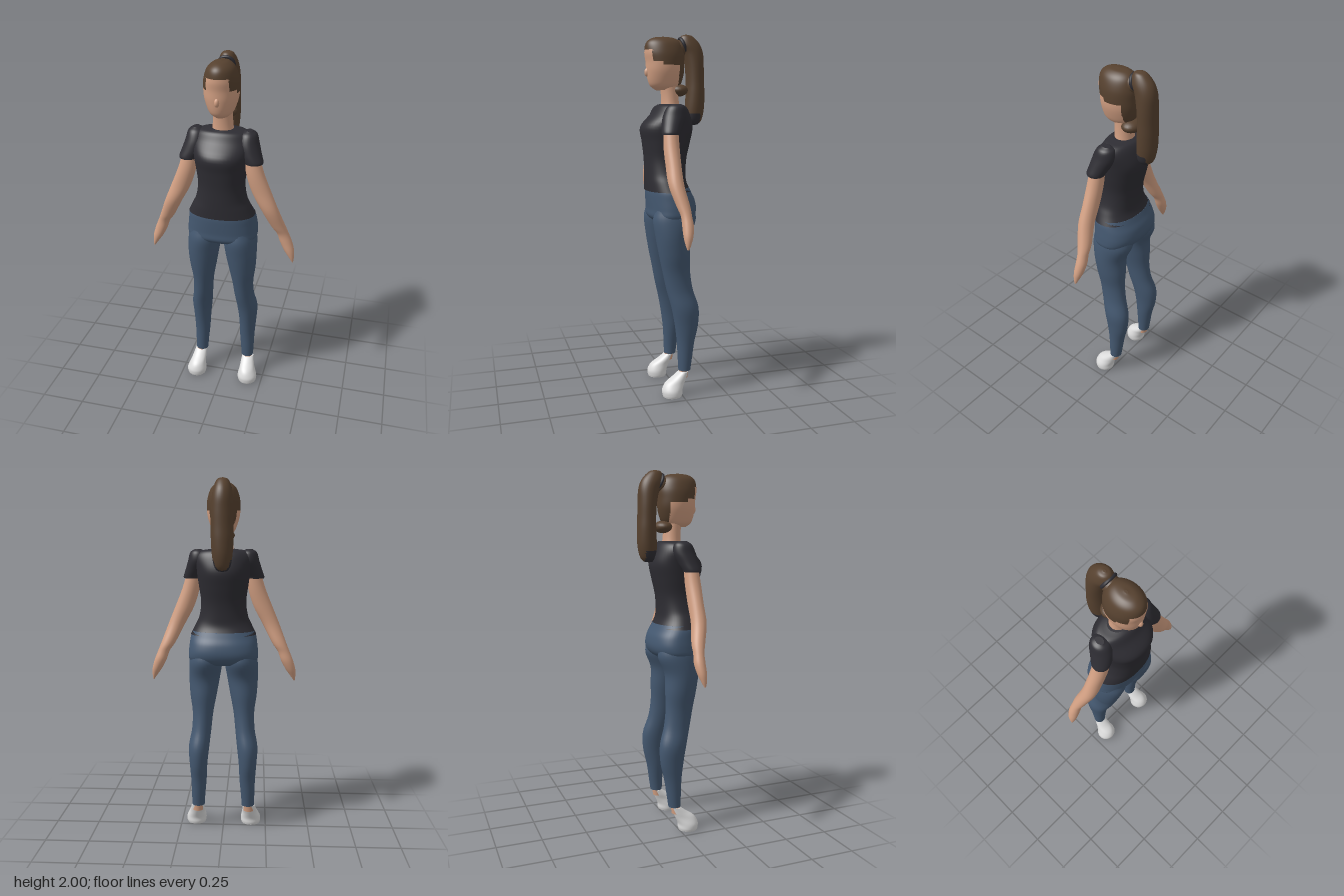
import * as THREE from 'three';

const mat = (name, color) => {
  const m = new THREE.MeshStandardMaterial({ color });
  m.name = name;
  return m;
};

// Smooth loft through horizontal rings listed from top to bottom.
// Each ring is [centre x, y, centre z, half width, half depth, squareness].
// An optional rule(x, y, z) picks the second material for a face.
function loft(rings, { side = 1, seg = 32, steps = 5, rule = null } = {}) {
  const curve = pts => new THREE.CatmullRomCurve3(pts, false, 'catmullrom', 0.5);
  const centres = curve(rings.map(r => new THREE.Vector3(r[0] * side, r[1], r[2])));
  const radii = curve(rings.map(r => new THREE.Vector3(r[3], r[4], r[5] ?? 2)));
  const n = (rings.length - 1) * steps;
  const pos = [], lists = [[], []];
  const addRing = i => {
    const c = centres.getPoint(i / n), r = radii.getPoint(i / n);
    for (let j = 0; j < seg; j++) {
      const a = (j / seg) * Math.PI * 2, e = 2 / r.z;
      const x = Math.sign(Math.cos(a)) * Math.abs(Math.cos(a)) ** e;
      const z = Math.sign(Math.sin(a)) * Math.abs(Math.sin(a)) ** e;
      pos.push(c.x + r.x * x, c.y, c.z + r.y * z);
    }
    return c;
  };
  const face = (a, b, c) => {
    const mid = k => (pos[a * 3 + k] + pos[b * 3 + k] + pos[c * 3 + k]) / 3;
    lists[rule && rule(mid(0), mid(1), mid(2)) ? 1 : 0].push(a, b, c);
  };
  for (let i = 0; i <= n; i++) addRing(i);
  for (let i = 0; i < n; i++) {
    for (let j = 0; j < seg; j++) {
      const k = (j + 1) % seg;
      const a = i * seg + j, c = i * seg + k;
      face(a, c, a + seg);
      face(c, c + seg, a + seg);
    }
  }
  // End caps with their own vertices, so the rims stay crisp
  for (const end of [0, n]) {
    const first = pos.length / 3;
    const c = addRing(end);
    pos.push(c.x, c.y, c.z);
    for (let j = 0; j < seg; j++) {
      const p = first + j, q = first + ((j + 1) % seg);
      if (end === 0) face(first + seg, q, p);
      else face(first + seg, p, q);
    }
  }
  const geo = new THREE.BufferGeometry();
  geo.setAttribute('position', new THREE.Float32BufferAttribute(pos, 3));
  geo.setIndex([...lists[0], ...lists[1]]);
  if (rule) {
    geo.addGroup(0, lists[0].length, 0);
    geo.addGroup(lists[0].length, lists[1].length, 1);
  }
  geo.computeVertexNormals();
  return geo;
}

export function createModel() {
  const model = new THREE.Group();
  model.name = 'woman';
  const skin = mat('skin', 0xd3a083);
  const hair = mat('brown hair', 0x56412f);
  const shirt = mat('charcoal shirt', 0x2e2d33);
  const denim = mat('blue denim', 0x445870);
  const shoe = mat('white shoe', 0xdcdcdc);

  const add = (name, geo, material) => {
    const mesh = new THREE.Mesh(geo, material);
    mesh.name = name;
    model.add(mesh);
    return mesh;
  };
  const ball = (name, material, [x, y, z], [rx, ry, rz]) => {
    const mesh = add(name, new THREE.SphereGeometry(1, 24, 16), material);
    mesh.position.set(x, y, z);
    mesh.scale.set(rx, ry, rz);
    return mesh;
  };

  // Shirt body
  add('shirtBody', loft([
    [0, 1.625, 0.02, 0.07, 0.055], [0, 1.612, 0.018, 0.135, 0.08],
    [0, 1.57, 0.02, 0.16, 0.105], [0, 1.50, 0.04, 0.15, 0.143, 2.2],
    [0, 1.42, 0.043, 0.138, 0.132, 2.2], [0, 1.33, 0.048, 0.127, 0.117, 2.2],
    [0, 1.25, 0.05, 0.138, 0.112, 2.2], [0, 1.20, 0.048, 0.16, 0.112, 2.2],
    [0, 1.15, 0.036, 0.185, 0.121, 2.2],
  ], { seg: 48 }), shirt);

  // Hips of the trousers
  add('hips', loft([
    [0, 1.17, 0.036, 0.174, 0.113, 2.2], [0, 1.14, 0.031, 0.185, 0.121, 2.2],
    [0, 1.10, 0.021, 0.191, 0.129, 2.3], [0, 1.05, 0.016, 0.196, 0.130, 2.4],
    [0, 1.01, 0.022, 0.193, 0.122, 2.4], [0, 0.985, 0.025, 0.16, 0.095, 2.2],
    [0, 0.978, 0.025, 0.10, 0.06],
  ], { seg: 48 }), denim);

  for (const [label, side] of [['left', 1], ['right', -1]]) {
    // Trouser leg
    add(label + 'Leg', loft([
      [0.1, 1.05, 0.02, 0.085, 0.11], [0.101, 0.99, 0.023, 0.094, 0.120],
      [0.109, 0.90, 0.035, 0.088, 0.097], [0.115, 0.80, 0.027, 0.076, 0.088],
      [0.118, 0.70, 0.017, 0.060, 0.078], [0.125, 0.60, 0, 0.056, 0.075],
      [0.139, 0.50, -0.027, 0.059, 0.077], [0.142, 0.40, -0.035, 0.051, 0.067],
      [0.141, 0.30, -0.030, 0.045, 0.050], [0.144, 0.20, -0.025, 0.039, 0.040],
      [0.145, 0.14, -0.022, 0.036, 0.034],
    ], { side }), denim);
    // Bare ankle between hem and shoe
    add(label + 'Ankle', loft([
      [0.146, 0.18, -0.022, 0.028, 0.026], [0.15, 0.10, -0.012, 0.030, 0.026],
    ], { side, steps: 2 }), skin);
    // Shoe
    add(label + 'Shoe', loft([
      [0.151, 0.135, -0.016, 0.034, 0.024], [0.153, 0.105, 0.008, 0.040, 0.040],
      [0.157, 0.075, 0.036, 0.046, 0.056], [0.161, 0.04, 0.053, 0.057, 0.058],
      [0.162, 0.015, 0.054, 0.058, 0.057], [0.162, 0, 0.054, 0.054, 0.053],
    ], { side }), shoe);
    // Sleeve
    add(label + 'Sleeve', loft([
      [0.142, 1.624, 0.025, 0.018, 0.025], [0.140, 1.605, 0.027, 0.045, 0.050],
      [0.142, 1.56, 0.035, 0.056, 0.063], [0.157, 1.51, 0.052, 0.057, 0.058],
      [0.175, 1.475, 0.064, 0.051, 0.051], [0.178, 1.462, 0.066, 0.048, 0.048],
    ], { side }), shirt);
    // Arm tapering into a closed hand
    add(label + 'Arm', loft([
      [0.165, 1.50, 0.062, 0.040, 0.038], [0.187, 1.40, 0.066, 0.049, 0.042],
      [0.223, 1.30, 0.066, 0.053, 0.041], [0.270, 1.20, 0.064, 0.047, 0.041],
      [0.315, 1.10, 0.042, 0.040, 0.036], [0.342, 1.05, 0.033, 0.033, 0.029],
      [0.361, 1.00, 0.030, 0.034, 0.030], [0.381, 0.95, 0.034, 0.028, 0.026],
      [0.396, 0.91, 0.039, 0.015, 0.016], [0.405, 0.88, 0.042, 0.003, 0.005],
    ], { side }), skin);
  }

  // Neck
  add('neck', loft([
    [0, 1.76, 0.03, 0.052, 0.05], [0, 1.69, 0.022, 0.052, 0.048],
    [0, 1.63, 0.018, 0.056, 0.049], [0, 1.58, 0.015, 0.065, 0.055],
  ]), skin);

  // Head, with the hairline framing the forehead and running behind the ears
  const isHair = (x, y, z) =>
    y > 1.915 || (y > 1.85 && Math.abs(x) > 0.058) ||
    (y > 1.83 && z < 0.08) || z < -0.015;
  add('head', loft([
    [0, 1.985, 0.055, 0.006, 0.01], [0, 1.977, 0.055, 0.040, 0.064],
    [0, 1.95, 0.055, 0.070, 0.098], [0, 1.90, 0.051, 0.088, 0.110],
    [0, 1.85, 0.047, 0.092, 0.107], [0, 1.80, 0.046, 0.088, 0.105],
    [0, 1.75, 0.047, 0.073, 0.095], [0, 1.72, 0.048, 0.058, 0.080],
    [0, 1.70, 0.048, 0.035, 0.052],
  ], { seg: 80, steps: 8, rule: isHair }), [skin, hair]);
  ball('nose', skin, [0, 1.795, 0.145], [0.014, 0.024, 0.018]);
  ball('napeHair', hair, [0, 1.70, -0.03], [0.064, 0.034, 0.052]);

  // Ponytail with a dark patch on its lower front
  add('ponytail', loft([
    [0, 2.0, -0.075, 0.006, 0.008], [0, 1.99, -0.078, 0.030, 0.035],
    [0, 1.95, -0.090, 0.048, 0.062], [0, 1.90, -0.112, 0.056, 0.058],
    [0, 1.83, -0.122, 0.060, 0.052], [0, 1.75, -0.126, 0.060, 0.050],
    [0, 1.68, -0.127, 0.060, 0.052], [0, 1.60, -0.124, 0.055, 0.053],
    [0, 1.54, -0.118, 0.044, 0.046], [0, 1.515, -0.115, 0.026, 0.028],
    [0, 1.51, -0.115, 0.008, 0.008],
  ], { rule: (x, y, z) => y < 1.575 && z > -0.145 }), [hair, shirt]);

  // Hair gathered from the head into the ponytail, and its band
  ball('gatheredHair', hair, [0, 1.925, -0.035], [0.045, 0.045, 0.05]);
  const band = add('hairBand', new THREE.TorusGeometry(0.04, 0.009, 10, 32), shirt);
  band.position.set(0, 1.94, -0.052);
  band.rotation.x = 0.35;

  return model;
}
